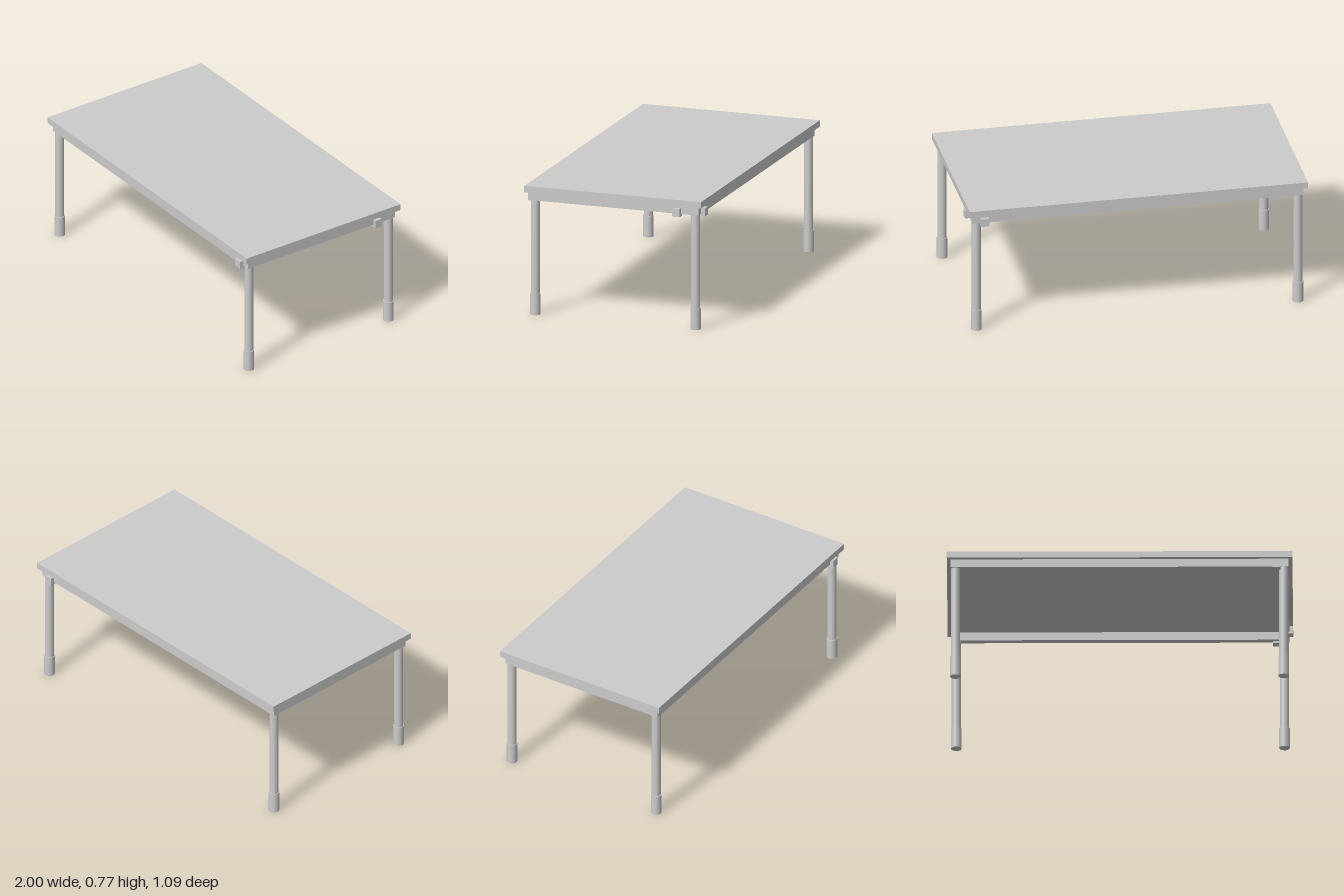
import * as THREE from 'three';

export function createModel() {
  const model = new THREE.Group();
  const material = new THREE.MeshStandardMaterial({ color: 0xcccccc });

  function add(parent, name, geometry, x, y, z) {
    const mesh = new THREE.Mesh(geometry, material);
    mesh.name = name;
    mesh.position.set(x, y, z);
    parent.add(mesh);
    return mesh;
  }

  const topY = 0.774, slabY = 0.736, railY = 0.686;
  const railX = 0.978, railZ = 0.521, railT = 0.04;
  const railH = slabY - railY;

  // Table top
  add(model, 'tableTop', new THREE.BoxGeometry(2, topY - slabY, 1.09), 0, (topY + slabY) / 2, 0);

  // Frame of four rails, as one mitre-free ring
  const outline = (w, d, path) => path
    .moveTo(-w, -d).lineTo(w, -d).lineTo(w, d).lineTo(-w, d).closePath();
  const ring = new THREE.Shape();
  outline(railX, railZ, ring);
  const hole = new THREE.Path();
  outline(railX - railT, railZ - railT, hole);
  ring.holes.push(hole);
  const frame = new THREE.ExtrudeGeometry(ring, { depth: railH, bevelEnabled: false });
  frame.rotateX(-Math.PI / 2);
  add(model, 'railFrame', frame, 0, railY, 0);

  // Round legs with slightly wider feet
  const footH = 0.126;
  for (const sx of [-1, 1]) {
    for (const sz of [-1, 1]) {
      const leg = new THREE.Group();
      leg.name = `${sz > 0 ? 'front' : 'back'}${sx > 0 ? 'Left' : 'Right'}Leg`;
      leg.position.set(sx * 0.95, 0, sz * 0.494);
      add(leg, 'legTube', new THREE.CylinderGeometry(0.0265, 0.0265, slabY - footH, 32),
        0, (slabY + footH) / 2, 0);
      add(leg, 'foot', new THREE.CylinderGeometry(0.031, 0.031, footH, 32), 0, footH / 2, 0);
      model.add(leg);
    }
  }

  // Small blocks half sunk into the rails at the left end
  const block = new THREE.BoxGeometry(0.048, 0.048, 0.048);
  const blockY = 0.696;
  add(model, 'frontBlock', block, 0.908, blockY, railZ);
  add(model, 'backBlock', block, 0.908, blockY, -railZ);
  add(model, 'sideBlock', new THREE.BoxGeometry(0.044, 0.048, 0.045), railX, blockY, -0.39);

  return model;
}
